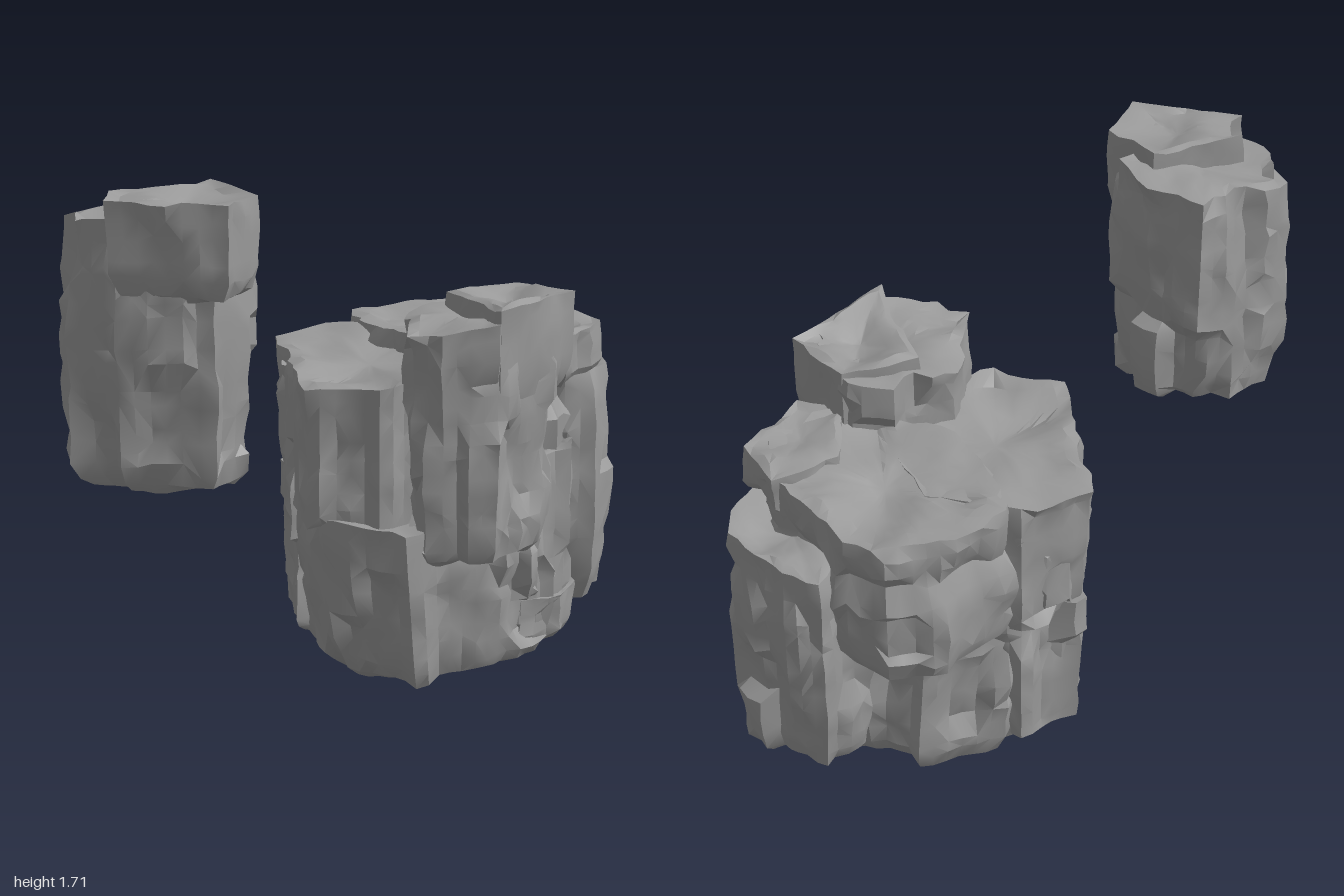
import * as THREE from 'three';
import { toCreasedNormals } from 'three/addons/utils/BufferGeometryUtils.js';

const material = new THREE.MeshStandardMaterial({ color: 0x999999 });

// Repeatable value in 0..1 for a lattice cell
function hash(a, b, c) {
  const s = Math.sin(a * 127.1 + b * 311.7 + c * 74.7) * 43758.5453;
  return s - Math.floor(s);
}

// Smoothly blended lattice values over a plane
function noise(x, z, seed) {
  const u = x / 0.11, v = z / 0.11, i = Math.floor(u), j = Math.floor(v);
  const { lerp } = THREE.MathUtils;
  return lerp(lerp(hash(i, j, seed), hash(i + 1, j, seed), u - i),
    lerp(hash(i, j + 1, seed), hash(i + 1, j + 1, seed), u - i), v - j);
}

// Piecewise-linear lookup in a list of [t, value]
function sample(stops, t) {
  for (let k = 1; k < stops.length; k++) {
    const [t0, v0] = stops[k - 1], [t1, v1] = stops[k];
    if (t <= t1) return v0 + (v1 - v0) * (t - t0) / (t1 - t0);
  }
  return stops[stops.length - 1][1];
}

// Split the outline's edges into short steps, keeping its corners
function subdivide(outline, step) {
  const area = outline.reduce((sum, [x, z], i) => {
    const [nx, nz] = outline[(i + 1) % outline.length];
    return sum + nx * z - x * nz;
  }, 0);
  const corners = area > 0 ? outline : [...outline].reverse();
  const ring = [];
  corners.forEach(([x, z], i) => {
    const [nx, nz] = corners[(i + 1) % corners.length];
    const n = Math.max(1, Math.round(Math.hypot(nx - x, nz - z) / step));
    for (let k = 0; k < n; k++) ring.push([x + (nx - x) * k / n, z + (nz - z) * k / n]);
  });
  return ring;
}

// Chiselled block: stacked rings with vertical columns, ledges and rough caps
function rock(name, { outline, y0, y1, seed, profile = [[0, 0.9], [0.08, 1], [1, 1]],
  tiltX = 0, tiltZ = 0, leanX = 0, rough = 0.05, dip = 0.04, bulge = 0.02 }) {
  const ring = subdivide(outline, 0.05);
  const n = ring.length;
  const cx = ring.reduce((s, p) => s + p[0], 0) / n;
  const cz = ring.reduce((s, p) => s + p[1], 0) / n;
  const levels = Math.max(5, Math.round((y1 - y0) / 0.06));
  const topAt = (x, z) => y1 + tiltX * (x - cx) + tiltZ * (z - cz);
  const rings = [];

  // Walls
  for (let j = 0; j <= levels; j++) {
    rings.push(ring.map(([x, z], i) => {
      const column = Math.floor((i + hash(i, 1, seed) * 0.9) / 2.4);
      const ledge = Math.floor((j + hash(column, 2, seed) * 4) / 3.7);
      const inset = rough * (0.5 * hash(column, 3, seed) + 1.1 * hash(column, ledge, seed + 5)
        + 0.35 * hash(i, j, seed + 9) - 0.4);
      const dx = x - cx, dz = z - cz;
      const inner = j > 0 && j < levels;
      const t = j / levels + (inner ? (hash(column, j, seed + 13) - 0.5) * 0.7 / levels : 0);
      const f = sample(profile, t) - inset / Math.hypot(dx, dz);
      const px = cx + dx * f + leanX * (1 - t), pz = cz + dz * f;
      const edge = inner ? 0 : 0.015 * hash(column, 4, seed + j);
      const py = y0 + (topAt(px, pz) - y0) * t + (j === 0 ? edge : -edge);
      return [px, py, pz];
    }));
  }

  // Caps shrink towards the middle over uneven ground
  const cap = (source, level, depth) => [0.84, 0.66, 0.48, 0.3, 0.14].map((s) =>
    source.map(([x, , z]) => {
      const px = cx + (x - cx) * s, pz = cz + (z - cz) * s;
      return [px, level(px, pz) - depth * (1 - s) + (noise(px, pz, seed) - 0.6) * 0.06, pz];
    }));
  const all = [...cap(rings[0], () => y0, bulge).reverse(), ...rings,
    ...cap(rings[levels], topAt, dip)];

  // Faces
  const positions = all.flat(2);
  const index = [];
  for (let j = 0; j < all.length - 1; j++) {
    for (let i = 0; i < n; i++) {
      const a = j * n + i, b = j * n + (i + 1) % n, c = b + n, d = a + n;
      if (hash(i, j, seed) > 0.5) index.push(a, b, c, a, c, d);
      else index.push(a, b, d, b, c, d);
    }
  }
  const last = (all.length - 1) * n, centre = positions.length / 3;
  const lift = (noise(cx, cz, seed) - 0.6) * 0.06;
  positions.push(cx, y0 - bulge + lift, cz, cx, y1 - dip + lift, cz);
  for (let i = 0; i < n; i++) {
    const next = (i + 1) % n;
    index.push(centre, next, i, centre + 1, last + i, last + next);
  }
  const geometry = new THREE.BufferGeometry();
  geometry.setAttribute('position', new THREE.Float32BufferAttribute(positions, 3));
  geometry.setIndex(index);
  const mesh = new THREE.Mesh(toCreasedNormals(geometry, 0.5), material);
  mesh.name = name;
  return mesh;
}

export function createModel() {
  const group = new THREE.Group();
  group.name = 'rockCluster';

  // Floating pillar with its overhanging front slab
  const floating = new THREE.Group();
  floating.name = 'floatingPillar';
  floating.add(
    rock('pillarBody', {
      outline: [[-1.02, 0.19], [-0.95, 0.02], [-0.7, -0.04], [-0.6, -0.03], [-0.48, 0.13],
        [-0.44, 0.3], [-0.5, 0.43], [-0.65, 0.5], [-0.92, 0.34]],
      y0: 0.87, y1: 1.66, seed: 3, tiltZ: 0.12, tiltX: 0.04,
      profile: [[0, 0.88], [0.06, 0.95], [0.3, 1], [0.6, 1.02], [0.8, 0.99], [0.85, 0.95], [1, 0.94]],
    }),
    rock('pillarSlab', {
      outline: [[-0.93, 0.32], [-0.64, 0.56], [-0.5, 0.42], [-0.54, 0.2], [-0.87, 0.2]],
      y0: 1.44, y1: 1.72, seed: 8, rough: 0.02, bulge: 0,
    }),
  );

  // Front pillar resting on the base
  const front = new THREE.Group();
  front.name = 'frontPillar';
  front.add(
    rock('pillarBody', {
      outline: [[0, 0.35], [0.04, 0.25], [0.17, 0.06], [0.4, 0.02], [0.53, 0.08],
        [0.6, 0.3], [0.47, 0.42], [0.25, 0.5], [0.07, 0.44]],
      y0: 0.48, y1: 1.24, seed: 12, tiltX: 0.1, tiltZ: 0.1, rough: 0.045,
      profile: [[0, 0.88], [0.06, 0.94], [0.5, 0.97], [0.6, 1], [1, 0.99]],
    }),
    rock('pillarSlab', {
      outline: [[0.25, 0.49], [0.62, 0.34], [0.54, 0.1], [0.28, 0.1]],
      y0: 0.98, y1: 1.28, seed: 17, rough: 0.02, tiltZ: 0.08, bulge: 0,
    }),
  );

  group.add(
    floating,
    front,
    rock('baseRock', {
      outline: [[-0.19, 0.15], [-0.16, -0.18], [-0.05, -0.42], [0.2, -0.45], [0.5, -0.42],
        [0.7, -0.22], [0.73, 0.1], [0.57, 0.3], [0.3, 0.39], [-0.01, 0.39]],
      y0: 0.05, y1: 0.6, seed: 23, leanX: 0.04,
      profile: [[0, 0.88], [0.1, 0.95], [0.7, 1], [1, 0.98]],
    }),
    rock('leftBlock', {
      outline: [[-0.24, 0.14], [-0.16, -0.18], [-0.05, -0.44], [0.2, -0.48], [0.45, -0.3],
        [0.45, 0.12], [0.1, 0.29], [-0.04, 0.28]],
      y0: 0.56, y1: 1.04, seed: 31, rough: 0.035, tiltX: 0.06,
      profile: [[0, 0.95], [0.15, 0.98], [1, 1]],
    }),
    // Tall column joining the base and the left block at the back
    rock('backColumn', {
      outline: [[-0.15, -0.12], [-0.12, -0.27], [-0.04, -0.43], [0.2, -0.46], [0.36, -0.37],
        [0.25, -0.1]],
      y0: 0.1, y1: 0.98, seed: 37, rough: 0.045,
      profile: [[0, 0.93], [0.1, 0.97], [1, 1]],
    }),
    rock('upperBackRock', {
      outline: [[0.18, -0.1], [0.17, -0.48], [0.47, -0.57], [0.66, -0.54], [0.78, -0.38],
        [0.84, -0.15], [0.86, 0.08], [0.62, 0.24], [0.4, 0.2]],
      y0: 0.57, y1: 1.08, seed: 42, tiltZ: 0.06, dip: 0.05, rough: 0.045,
      profile: [[0, 0.93], [0.1, 0.98], [0.54, 1], [0.6, 0.9], [0.72, 0.91], [0.78, 0.96], [1, 0.95]],
    }),
    // Overhanging rim at the front right of the upper rock
    rock('upperLedge', {
      outline: [[0.5, 0.18], [0.62, 0.29], [0.86, 0.11], [0.84, -0.1], [0.6, -0.08]],
      y0: 0.94, y1: 1.1, seed: 47, rough: 0.025, dip: 0.03,
    }),
    rock('rightPillar', {
      outline: [[0.6, 0.05], [0.7, 0.17], [0.8, 0.22], [0.93, 0.12], [1, -0.04],
        [0.97, -0.14], [0.9, -0.31], [0.8, -0.4], [0.62, -0.32]],
      y0: 0.14, y1: 0.92, seed: 54, tiltZ: 0.1, rough: 0.045,
      profile: [[0, 0.87], [0.06, 0.92], [0.2, 0.97], [0.5, 1], [0.8, 0.99], [1, 0.93]],
    }),
    rock('smallColumn', {
      outline: [[0.42, 0.25], [0.43, 0.1], [0.68, 0.05], [0.73, 0.18], [0.67, 0.27], [0.52, 0.31]],
      y0: 0.12, y1: 0.74, seed: 61, rough: 0.03,
    }),
    // Broken stones at the foot of the small column
    rock('footStone', {
      outline: [[0.45, 0.3], [0.5, 0.1], [0.76, 0.08], [0.74, 0.22], [0.62, 0.31]],
      y0: 0.1, y1: 0.26, seed: 66, rough: 0.03,
    }),
    rock('frontSpur', {
      outline: [[0.39, 0.34], [0.42, 0.2], [0.54, 0.2], [0.52, 0.34], [0.45, 0.38]],
      y0: 0.28, y1: 0.48, seed: 70, rough: 0.025,
    }),
  );
  return group;
}
